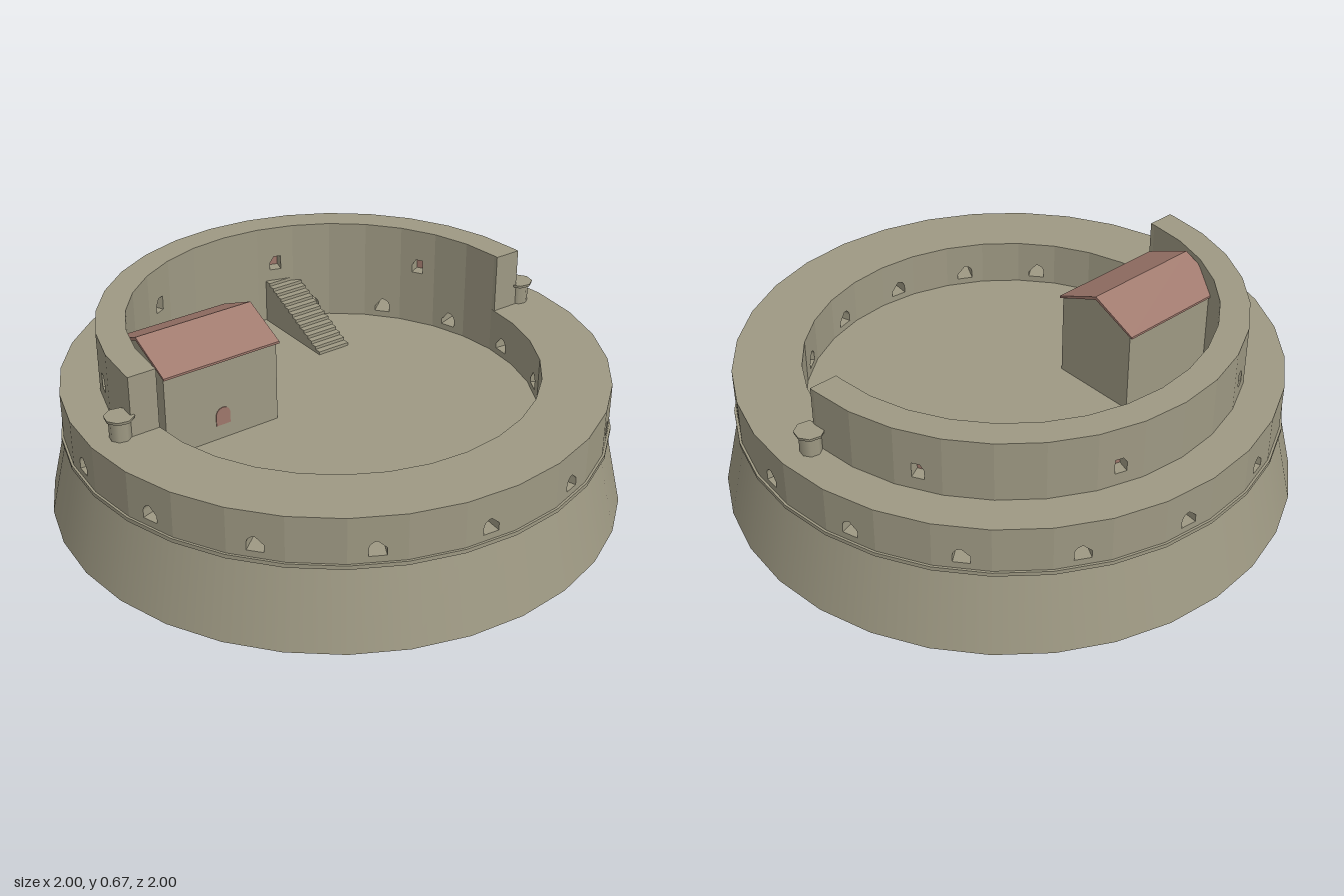
import * as THREE from 'three';
import { mergeGeometries } from 'three/addons/utils/BufferGeometryUtils.js';

const SIDES = 32;
const STEP = (Math.PI * 2) / SIDES;

const stone = new THREE.MeshStandardMaterial({ color: 0x9e9983 });
stone.name = 'stone';
const clay = new THREE.MeshStandardMaterial({ color: 0x9e776b });
clay.name = 'clay';

function add(parent, name, geometry, material, x = 0, y = 0, z = 0) {
  const mesh = new THREE.Mesh(geometry, material);
  mesh.name = name;
  mesh.position.set(x, y, z);
  parent.add(mesh);
  return mesh;
}

// Opening with a round head (or square when arched is false)
function trace(path, w, y0, y1, arched) {
  const h = w / 2;
  path.moveTo(-h, y0);
  path.lineTo(h, y0);
  if (arched) path.absarc(0, y1 - h, h, 0, Math.PI, false);
  else path.lineTo(h, y1).lineTo(-h, y1);
  path.lineTo(-h, y0);
  return path;
}

// One flat wall panel between two radii, its ends mitred to meet its neighbours
function panel(rIn, rOut, y0, y1, angle, hole) {
  const shape = new THREE.Shape();
  shape.moveTo(-1, y0).lineTo(1, y0).lineTo(1, y1).lineTo(-1, y1).closePath();
  if (hole) shape.holes.push(trace(new THREE.Path(), ...hole));
  const c = Math.cos(STEP / 2);
  const geo = new THREE.ExtrudeGeometry(shape, {
    depth: (rOut - rIn) * c, bevelEnabled: false, curveSegments: 8,
  });
  geo.translate(0, 0, rIn * c);
  const p = geo.attributes.position;
  for (let i = 0; i < p.count; i++) {
    if (Math.abs(p.getX(i)) > 0.9) {
      p.setX(i, Math.sign(p.getX(i)) * Math.tan(STEP / 2) * p.getZ(i));
    }
  }
  geo.computeVertexNormals();
  return geo.rotateY(angle);
}

// Profile in z and y, extruded along x from xMax towards -x
function extrudeAlongX(points, length, xMax) {
  const shape = new THREE.Shape(points.map(([z, y]) => new THREE.Vector2(z, y)));
  const geo = new THREE.ExtrudeGeometry(shape, { depth: length, bevelEnabled: false });
  return geo.rotateY(-Math.PI / 2).translate(xMax, 0, 0);
}

export function createModel() {
  const model = new THREE.Group();
  model.name = 'roundFort';

  // Sloping base, and a string course whose top is the courtyard floor
  add(model, 'base', new THREE.CylinderGeometry(0.935, 1, 0.28, SIDES), stone, 0, 0.14, 0);
  add(model, 'ledgeAndFloor', new THREE.CylinderGeometry(0.948, 0.948, 0.014, SIDES), stone, 0, 0.285, 0);

  // Lower wall with an embrasure in every second panel
  const lower = [];
  for (let i = 0; i < SIDES; i++) {
    const hole = i % 2 ? [0.056, 0.315, 0.367, true] : null;
    lower.push(panel(0.705, 0.94, 0.285, 0.456, (i + 0.5) * STEP, hole));
  }
  add(model, 'lowerWall', mergeGeometries(lower), stone);

  // Upper half wall at the back, with four shuttered windows
  const upper = [];
  for (let i = 0; i < SIDES / 2; i++) {
    const angle = Math.PI / 2 + (i + 0.5) * STEP;
    const hasWindow = i % 4 === 2;
    upper.push(panel(0.705, 0.805, 0.455, 0.67, angle, hasWindow ? [0.042, 0.5, 0.553, false] : null));
    if (hasWindow) {
      const shutter = add(model, 'shutter', new THREE.BoxGeometry(0.046, 0.057, 0.008), clay,
        Math.sin(angle) * 0.752, 0.5265, Math.cos(angle) * 0.752);
      shutter.rotation.y = angle;
    }
  }
  add(model, 'upperWall', mergeGeometries(upper), stone);

  for (const side of [-1, 1]) {
    add(model, 'upperWallEnd', new THREE.BoxGeometry(0.1, 0.215, 0.016), stone, side * 0.755, 0.5625, 0.008);

    // Small capped turret beside each wall end
    const turret = new THREE.Group();
    turret.name = 'turret';
    turret.position.set(side * 0.835, 0, -0.004);
    turret.rotation.y = 0.2;
    add(turret, 'turretBody', new THREE.CylinderGeometry(0.036, 0.036, 0.075, 8), stone, 0, 0.49, 0);
    add(turret, 'turretCap', new THREE.CylinderGeometry(0.05, 0.048, 0.01, 8), stone, 0, 0.53, 0);
    model.add(turret);
  }

  // Gabled house
  const house = new THREE.Group();
  house.name = 'house';
  house.position.z = -0.2025;
  model.add(house);
  add(house, 'houseWalls', extrudeAlongX(
    [[-0.16, 0.285], [0.16, 0.285], [0.16, 0.588], [0, 0.662], [-0.16, 0.588]], 0.435, -0.215), stone);
  add(house, 'houseRoof', extrudeAlongX(
    [[-0.1725, 0.586], [0, 0.66], [0.1725, 0.586], [0.1725, 0.594], [0, 0.672], [-0.1725, 0.594]],
    0.445, -0.21), clay);
  const windowGeo = new THREE.ExtrudeGeometry(trace(new THREE.Shape(), 0.055, 0.345, 0.41, true),
    { depth: 0.004, bevelEnabled: false, curveSegments: 8 });
  add(house, 'houseWindow', windowGeo, clay, -0.4325, 0, 0.159);

  // Stairs climbing towards the back wall
  const steps = 14;
  const profile = [[-0.68, 0.285], [-0.33, 0.285]];
  for (let i = 0; i < steps; i++) {
    const y = 0.292 + ((i + 1) * 0.164) / steps;
    profile.push([-0.33 - i * 0.025, y], [-0.33 - (i + 1) * 0.025, y]);
  }
  add(model, 'stairs', extrudeAlongX(profile, 0.13, 0.295), stone);

  return model;
}
